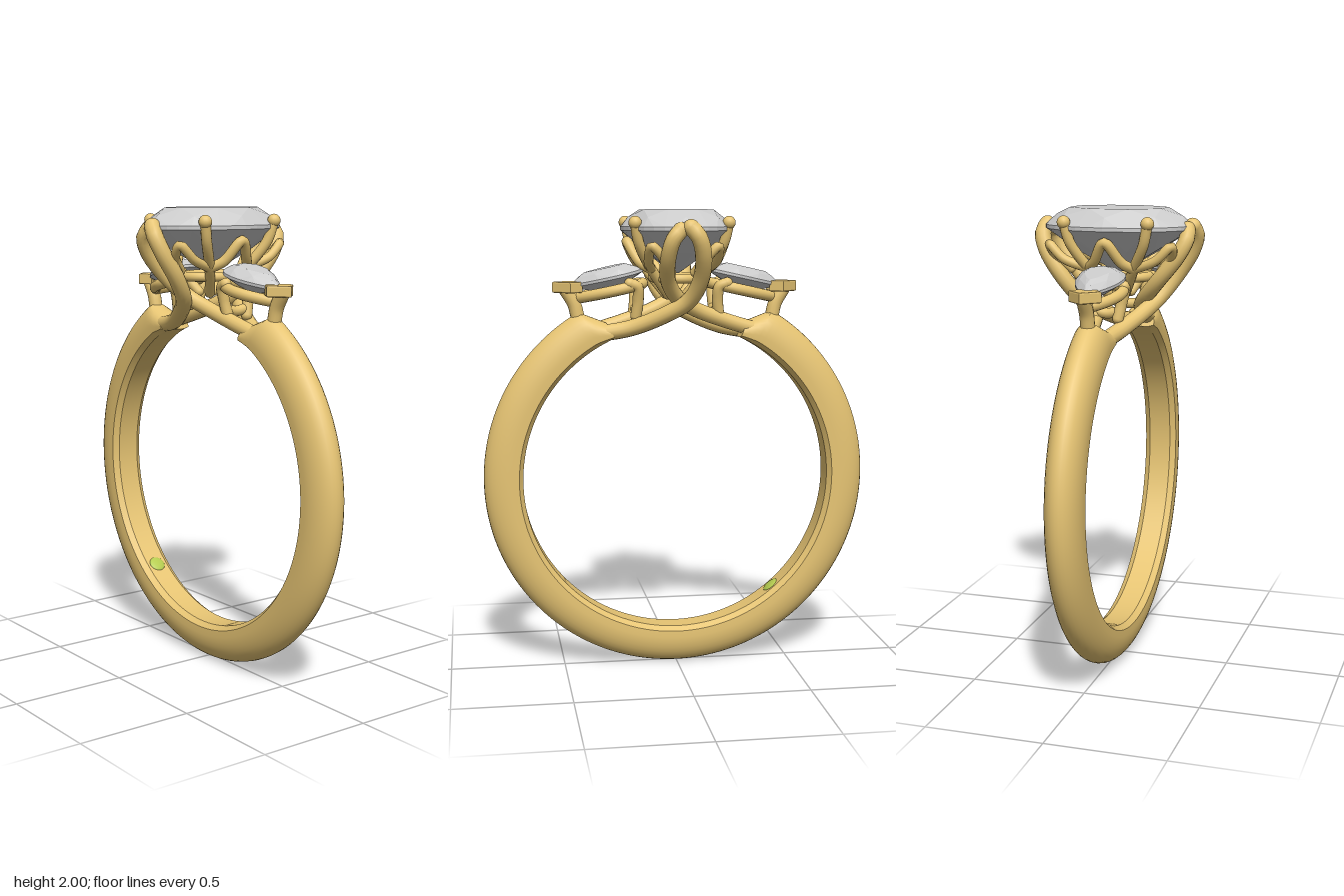
import * as THREE from 'three';
import { toCreasedNormals } from 'three/addons/utils/BufferGeometryUtils.js';
import { ConvexGeometry } from 'three/addons/geometries/ConvexGeometry.js';

const gold = new THREE.MeshStandardMaterial({ color: 0xe6c473 });
const grey = new THREE.MeshStandardMaterial({ color: 0xcccccc });
const green = new THREE.MeshStandardMaterial({ color: 0xb5cc50 });
const V = (x, y, z) => new THREE.Vector3(x, y, z);
const CY = 0.84; // height of the band's centre

function add(parent, name, geometry, material = gold) {
  const mesh = new THREE.Mesh(geometry, material);
  mesh.name = name;
  parent.add(mesh);
  return mesh;
}

// Round wire through points, with ball ends when open
function wire(parent, name, points, radius, closed = false) {
  const group = new THREE.Group();
  group.name = name;
  const pts = points.map((p) => V(...p));
  const curve = new THREE.CatmullRomCurve3(pts, closed);
  add(group, name + 'Wire', new THREE.TubeGeometry(curve, closed ? 64 : 32, radius, 14, closed));
  if (!closed) {
    for (const p of [pts[0], pts[pts.length - 1]]) {
      add(group, name + 'End', new THREE.SphereGeometry(radius, 14, 10)).position.copy(p);
    }
  }
  parent.add(group);
  return group;
}

// Faceted stone: convex hull of scaled outline rings [scale, y, count, angle offset]
function stone(outline, rings) {
  const pts = [];
  for (const [s, y, n, offset] of rings) {
    for (let i = 0; i < n; i++) {
      const [x, z] = outline(((i + offset) / n) * Math.PI * 2);
      pts.push(V(x * s, y, z * s));
    }
  }
  return new ConvexGeometry(pts);
}

const oval = (t) => [0.237 * Math.cos(t), 0.32 * Math.sin(t)];
const pear = (t) => [0.16 * Math.cos(t), 0.127 * Math.sin(t) * Math.pow(Math.abs(Math.sin(t / 2)), 0.8)];

// Band: D-shaped section swept round, thinned towards both shoulders
function bandGeometry() {
  const inner = 0.672, outer = 0.84;
  const profile = [[inner, 0.05], [inner, -0.05], [0.69, -0.075]];
  for (let k = 0; k <= 16; k++) {
    const t = -Math.PI / 2 + (k / 16) * Math.PI;
    profile.push([0.72 + 0.12 * Math.cos(t), 0.077 * Math.sin(t)]);
  }
  profile.push([0.69, 0.075]);
  const n = profile.length, steps = 156, pos = [], idx = [];
  for (let i = 0; i <= steps; i++) {
    const a = THREE.MathUtils.degToRad(114 + (312 * i) / steps);
    const c = Math.cos(a), s = Math.sin(a);
    const cut = s > 0.5 ? 0.563 / (s - 0.382 * Math.abs(c)) : outer;
    const k = Math.min(1, (cut - inner) / (outer - inner));
    for (const [r, z] of profile) {
      const rr = inner + (r - inner) * k;
      pos.push(rr * c, CY + rr * s, z);
    }
    if (i === steps) break;
    for (let j = 0; j < n; j++) {
      const p = i * n + j, q = i * n + ((j + 1) % n);
      idx.push(p, p + n, q, q, p + n, q + n);
    }
  }
  const last = steps * n;
  for (let j = 1; j < n - 1; j++) {
    idx.push(0, j, j + 1, last, last + j + 1, last + j);
  }
  const g = new THREE.BufferGeometry();
  g.setAttribute('position', new THREE.Float32BufferAttribute(pos, 3));
  g.setIndex(idx);
  return toCreasedNormals(g, 0.5);
}

// Side stone with its rail, posts and pointed claw
function sideSetting(parent) {
  const head = new THREE.Group();
  head.name = 'sideStoneHead';
  head.position.set(0.3, 1.71, 0);
  head.rotation.z = -0.22;
  add(head, 'sideStone', stone(pear, [
    [0.55, 0.045, 8, 0], [0.8, 0.03, 8, 0.5], [1, 0.006, 24, 0], [1, -0.006, 24, 0],
    [0.55, -0.035, 8, 0.5], [0.1, -0.055, 4, 0],
  ]), grey);
  const rail = [];
  for (let i = 0; i < 20; i++) {
    const [x, z] = pear(((i + 0.5) / 20) * Math.PI * 2);
    rail.push([x * 0.88 - 0.005, -0.055, z * 0.85]);
  }
  wire(head, 'sideRail', rail, 0.024, true);
  parent.add(head);

  const claw = new THREE.Shape([
    [0.525, 0], [0.46, 0.062], [0.415, 0.035], [0.45, 0], [0.415, -0.035], [0.46, -0.062],
  ].map(([x, y]) => new THREE.Vector2(x, y)));
  const tip = add(parent, 'pointedClaw', new THREE.ExtrudeGeometry(claw, {
    depth: 0.035, bevelSize: 0.006, bevelThickness: 0.006, bevelSegments: 2,
  }));
  tip.rotation.x = -Math.PI / 2;
  tip.position.y = 1.655;
  wire(parent, 'clawPost', [[0.425, 1.54, 0], [0.44, 1.6, 0], [0.475, 1.66, 0]], 0.03);
  for (const s of [1, -1]) {
    wire(parent, 'innerPost', [
      [0.18, 1.55, 0.05 * s], [0.172, 1.62, 0.065 * s], [0.178, 1.675, 0.08 * s], [0.21, 1.69, 0.085 * s],
    ], 0.024);
  }
  wire(parent, 'shoulderBridge', [[0.172, 1.58, -0.055], [0.172, 1.57, 0], [0.172, 1.58, 0.055]], 0.022);
}

// Prongs and arches of the basket on one side
function basketSide(parent) {
  for (const s of [1, -1]) {
    wire(parent, 'prong', [
      [0.04, 1.64, 0.04 * s], [0.12, 1.75, 0.1 * s], [0.18, 1.86, 0.16 * s], [0.198, 1.945, 0.181 * s],
    ], 0.022);
    add(parent, 'prongTip', new THREE.SphereGeometry(0.028, 16, 12)).position.set(0.198, 1.945, 0.181 * s);
    wire(parent, 'endArch', [
      [0.12, 1.75, 0.1 * s], [0.145, 1.79, 0.2 * s], [0.138, 1.85, 0.265 * s],
      [0.09, 1.8, 0.255 * s], [0.05, 1.74, 0.2 * s],
    ], 0.02);
  }
  wire(parent, 'sideArch', [
    [0.12, 1.75, 0.1], [0.165, 1.78, 0.06], [0.212, 1.865, 0], [0.165, 1.78, -0.06], [0.12, 1.75, -0.1],
  ], 0.022);
}

// Two crossing strands that rise from the shoulders to grip the stone's end
function strands(parent) {
  wire(parent, 'overStrand', [
    [-0.33, 1.475, 0.035], [-0.2, 1.5, 0.06], [-0.06, 1.56, 0.12], [0.03, 1.62, 0.17],
    [0.07, 1.71, 0.235], [0.068, 1.82, 0.305], [0.045, 1.89, 0.328], [0.015, 1.925, 0.318],
  ], 0.035);
  wire(parent, 'underStrand', [
    [0.33, 1.49, 0.035], [0.2, 1.53, 0.05], [0.08, 1.575, 0.075], [0, 1.62, 0.115],
    [-0.06, 1.7, 0.19], [-0.072, 1.81, 0.28], [-0.055, 1.88, 0.312], [-0.025, 1.915, 0.306],
  ], 0.033);
}

export function createModel() {
  const model = new THREE.Group();
  model.name = 'ring';
  add(model, 'band', bandGeometry());

  // Centre stone and the small ring below it
  add(model, 'centreStone', stone(oval, [
    [0.68, 0.08, 8, 0.5], [0.88, 0.047, 8, 0], [1, 0.008, 32, 0], [1, -0.008, 32, 0],
    [0.58, -0.1, 8, 0.5], [0.06, -0.19, 6, 0],
  ]), grey).position.y = 1.92;
  const base = [];
  for (let i = 0; i < 16; i++) {
    const t = (i / 16) * Math.PI * 2;
    base.push([0.1 * Math.cos(t), 1.71, 0.13 * Math.sin(t)]);
  }
  wire(model, 'basketRing', base, 0.02, true);

  // The head repeats after half a turn
  for (let i = 0; i < 2; i++) {
    const half = new THREE.Group();
    half.name = i ? 'rightHalfHead' : 'leftHalfHead';
    half.rotation.y = Math.PI * i;
    sideSetting(half);
    basketSide(half);
    strands(half);
    model.add(half);
  }

  // Small stone set flush inside the band
  const a = THREE.MathUtils.degToRad(230);
  const hidden = add(model, 'innerStone', new THREE.SphereGeometry(0.038, 16, 10), green);
  hidden.scale.set(0.25, 1, 1);
  hidden.rotation.z = a;
  hidden.position.set(0.672 * Math.cos(a), CY + 0.672 * Math.sin(a), 0);
  return model;
}
